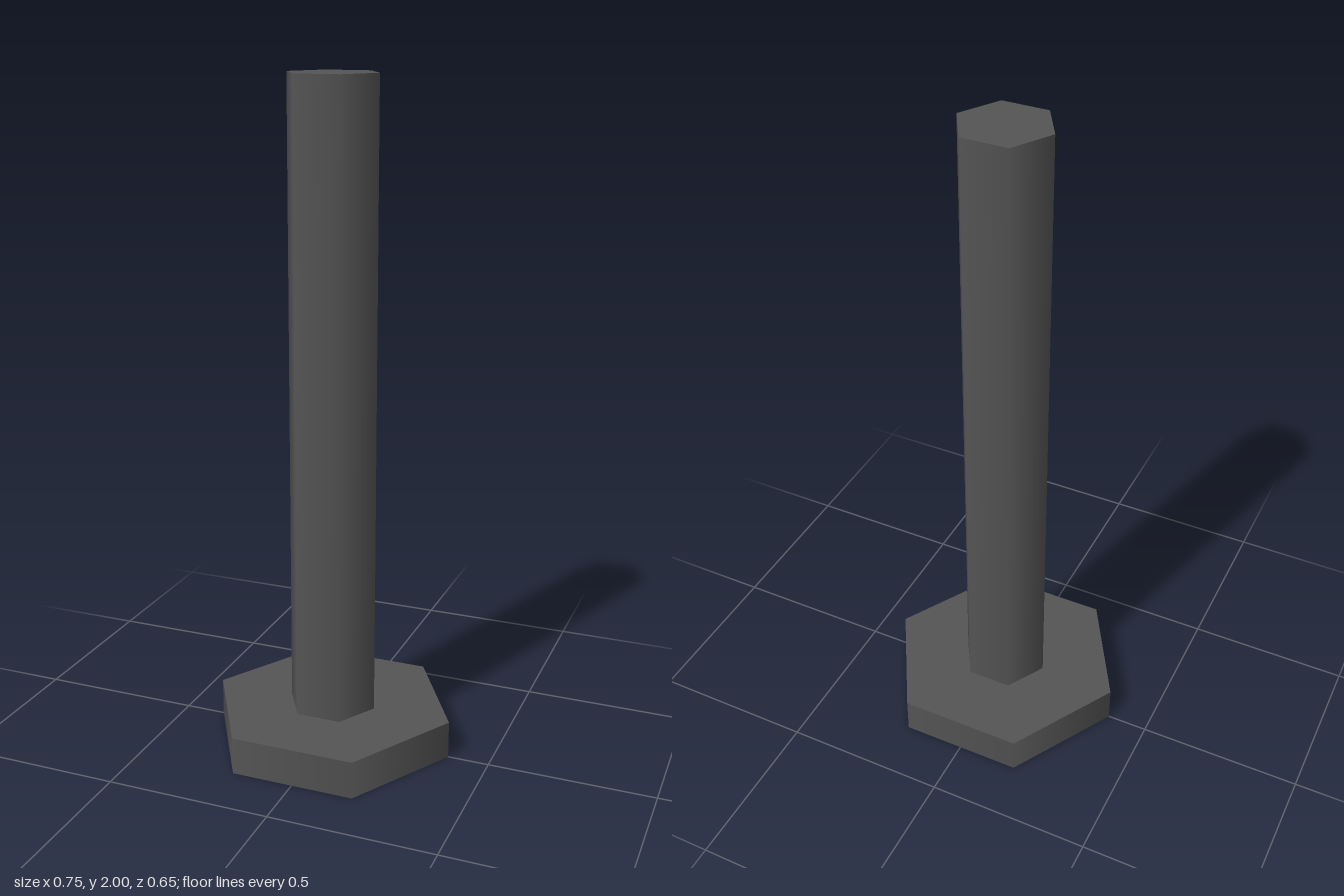
import * as THREE from 'three';

const material = new THREE.MeshStandardMaterial({ color: 0x555555 });

// Six-sided prism with corners on the x axis, standing between two heights
function hexPrism(name, radius, bottom, top) {
  const geometry = new THREE.CylinderGeometry(radius, radius, top - bottom, 6, 1, false, Math.PI / 2);
  const mesh = new THREE.Mesh(geometry, material);
  mesh.name = name;
  mesh.position.y = (bottom + top) / 2;
  return mesh;
}

export function createModel() {
  const group = new THREE.Group();
  group.name = 'hexBolt';
  const headHeight = 0.115;
  group.add(
    hexPrism('head', 0.375, 0, headHeight),
    hexPrism('shaft', 0.136, headHeight, 2)
  );
  return group;
}
